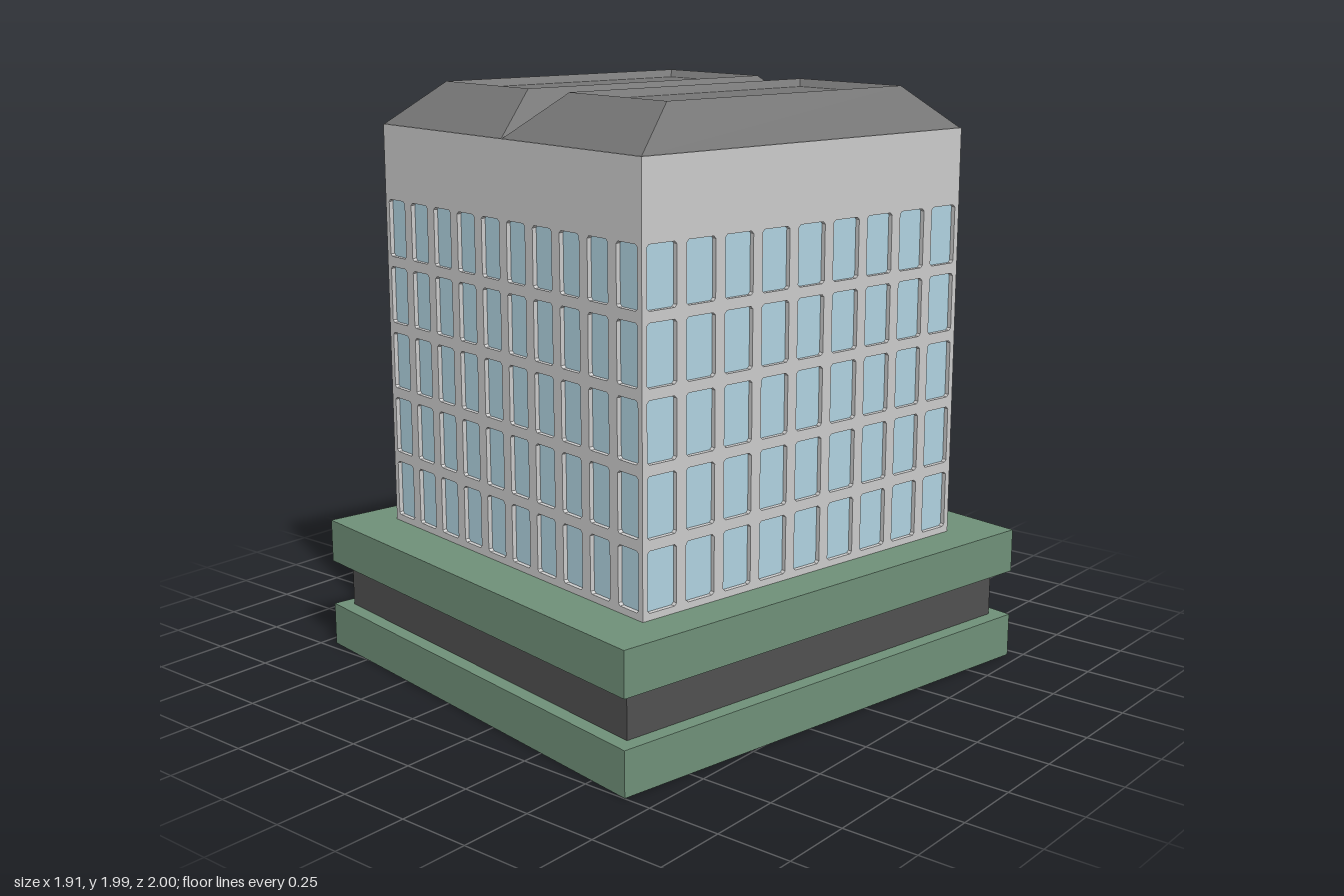
import * as THREE from 'three';

const mat = (color) => new THREE.MeshStandardMaterial({ color, flatShading: true });
const green = mat(0x6f9078), dark = mat(0x505050), wall = mat(0xcccccc);
const glass = mat(0xb0d2e0), roofGrey = mat(0x757575);

const BASE_W = 1.635, BASE_D = 1.74, TOWER_W = 1.36, TOWER_D = 1.37;
const FLOOR = 0.46, EAVES = 1.85, RECESS = 0.015;

function add(parent, name, geometry, material) {
  const mesh = new THREE.Mesh(geometry, material);
  mesh.name = name;
  parent.add(mesh);
  return mesh;
}

function box(parent, name, w, d, y0, y1, material, z = 0) {
  const mesh = add(parent, name, new THREE.BoxGeometry(w, y1 - y0, d), material);
  mesh.position.set(0, (y0 + y1) / 2, z);
  return mesh;
}

// Skin over stacked rectangles [x0, x1, z0, z1, y], closed at the last one
function stack(rects) {
  const rings = rects.map(([x0, x1, z0, z1, y]) => [[x0, y, z1], [x1, y, z1], [x1, y, z0], [x0, y, z0]]);
  const pos = [];
  const quad = (a, b, c, d) => pos.push(...a, ...b, ...c, ...a, ...c, ...d);
  for (let r = 0; r < rings.length - 1; r++) {
    for (let i = 0; i < 4; i++) {
      const j = (i + 1) % 4;
      quad(rings[r][i], rings[r][j], rings[r + 1][j], rings[r + 1][i]);
    }
  }
  quad(...rings[rings.length - 1]);
  const g = new THREE.BufferGeometry();
  g.setAttribute('position', new THREE.Float32BufferAttribute(pos, 3));
  g.computeVertexNormals();
  return g;
}

// Rectangle with slightly clipped corners, used for a window opening
function opening(cx, cy, w, h, c = 0.008) {
  const x = w / 2, y = h / 2;
  const pts = [[-x + c, -y], [x - c, -y], [x, -y + c], [x, y - c], [x - c, y], [-x + c, y], [-x, y - c], [-x, -y + c]];
  return new THREE.Path(pts.map(([px, py]) => new THREE.Vector2(cx + px, cy + py)));
}

// Wall panel pierced by five rows of windows
function facade(width, columns, pitch, windowWidth) {
  const s = new THREE.Shape([[-1, FLOOR], [1, FLOOR], [1, EAVES], [-1, EAVES]]
    .map(([k, y]) => new THREE.Vector2(k * width / 2, y)));
  for (let row = 0; row < 5; row++) {
    for (let i = 0; i < columns; i++) {
      s.holes.push(opening((i - (columns - 1) / 2) * pitch, 0.58 + row * 0.23, windowWidth, 0.195));
    }
  }
  return new THREE.ExtrudeGeometry(s, { depth: RECESS, bevelEnabled: false });
}

export function createModel() {
  const model = new THREE.Group();
  const building = new THREE.Group();
  building.name = 'building';
  building.rotation.y = -Math.PI / 18;
  model.add(building);

  // Podium: two green bands with a dark recessed band between
  box(building, 'podiumLower', BASE_W, BASE_D, 0, 0.15, green);
  box(building, 'podiumRecess', BASE_W - 0.1, BASE_D - 0.1, 0.15, 0.31, dark);
  box(building, 'podiumUpper', BASE_W, BASE_D, 0.31, FLOOR, green);
  box(building, 'entranceSurround', 0.44, 0.1, 0.15, 0.31, green, -BASE_D / 2 + 0.05);

  // Entrance block with a chamfered top at the back
  add(building, 'entrance', stack([
    [-0.165, 0.165, -0.955, -0.8, 0],
    [-0.165, 0.165, -0.955, -0.8, 0.43],
    [-0.135, 0.135, -0.925, -0.8, 0.463],
  ]), glass);
  const under = add(building, 'entranceUnderside', new THREE.PlaneGeometry(0.33, 0.085), glass);
  under.rotation.x = Math.PI / 2;
  under.position.set(0, 0, -0.9125);

  // Tower: glass core behind four pierced walls
  box(building, 'windowGlass', TOWER_W - 2 * RECESS, TOWER_D - 2 * RECESS, FLOOR, 1.7, glass);
  const broad = facade(TOWER_W, 10, TOWER_W / 10, 0.096);
  const side = facade(TOWER_D - 2 * RECESS, 9, TOWER_D / 9, 0.114);
  for (let i = 0; i < 4; i++) {
    const panel = add(building, ['frontWall', 'leftWall', 'backWall', 'rightWall'][i], i % 2 ? side : broad, wall);
    const a = i * Math.PI / 2, r = (i % 2 ? TOWER_W : TOWER_D) / 2 - RECESS;
    panel.rotation.y = a;
    panel.position.set(Math.sin(a) * r, 0, Math.cos(a) * r);
  }

  // Twin hipped roofs, each with a shallow sunken top, meeting in a valley
  const hip = stack([
    [0, 0.676, -0.681, 0.681, EAVES],
    [0.11, 0.575, -0.5, 0.5, 1.99],
    [0.135, 0.55, -0.475, 0.475, 1.965],
  ]);
  add(building, 'leftRoof', hip, roofGrey);
  add(building, 'rightRoof', hip, roofGrey).position.x = -0.68;

  // Flat ledge under the roofs
  box(building, 'eavesLedge', TOWER_W - 0.002, TOWER_D - 0.002, EAVES - 0.02, EAVES, wall);
  return model;
}
